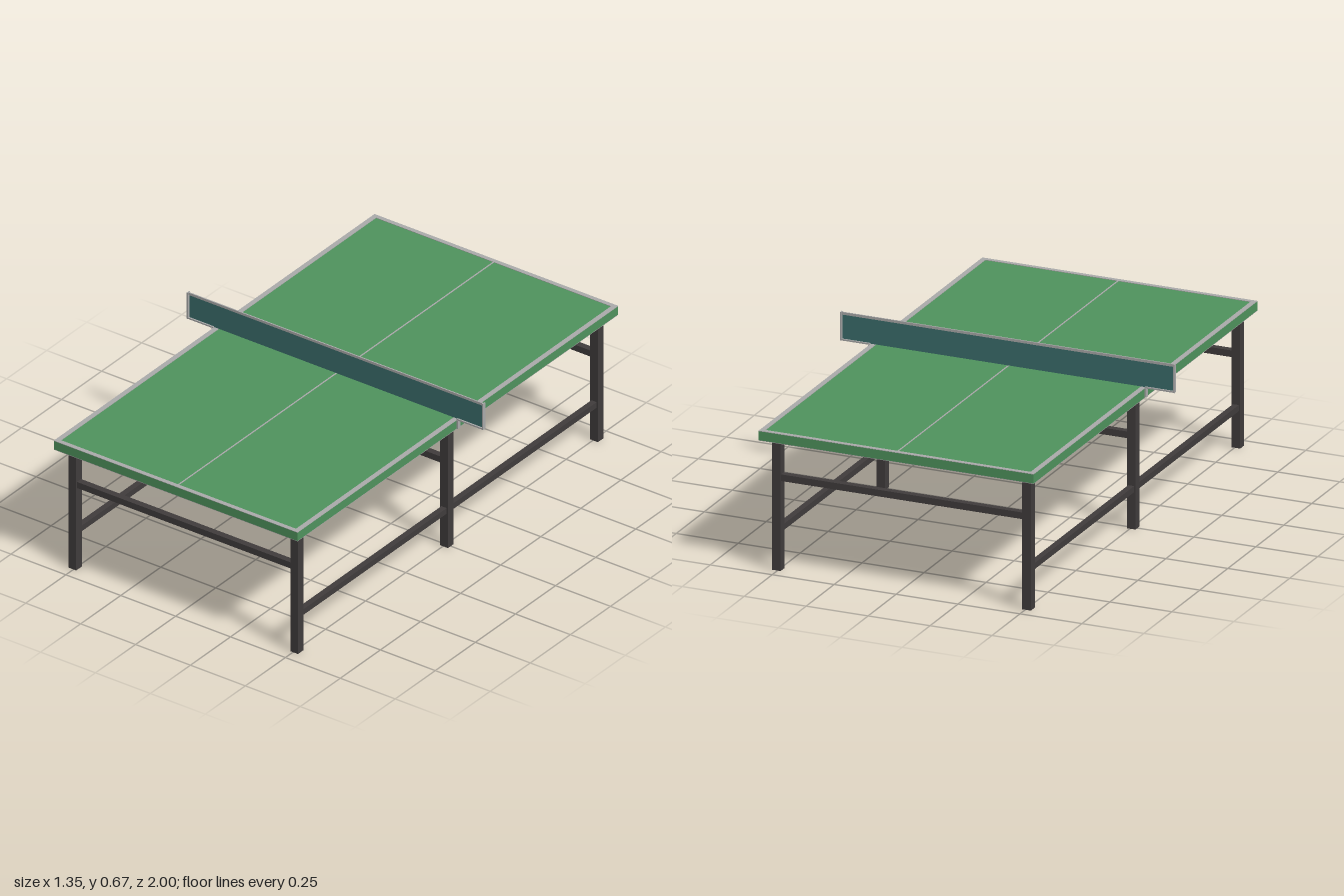
import * as THREE from 'three';

const paint = (name, color) => {
  const m = new THREE.MeshStandardMaterial({ color });
  m.name = name;
  return m;
};

export function createModel() {
  const green = paint('table green', 0x4f935d);
  const grey = paint('line grey', 0xaaaaaa);
  const dark = paint('frame charcoal', 0x403c3c);
  const teal = paint('net teal', 0x3b6e6c);

  const model = new THREE.Group();
  model.name = 'tableTennisTable';

  const box = (name, mat, size, pos, parent = model) => {
    const mesh = new THREE.Mesh(new THREE.BoxGeometry(...size), mat);
    mesh.name = name;
    mesh.position.set(...pos);
    parent.add(mesh);
    return mesh;
  };
  const group = (name) => {
    const g = new THREE.Group();
    g.name = name;
    model.add(g);
    return g;
  };

  // Playing surface
  const TOP = 0.555, BOTTOM = 0.52, HALF_W = 0.555, HALF_L = 1;
  box('tableTop', green, [HALF_W * 2, TOP - BOTTOM, HALF_L * 2], [0, (TOP + BOTTOM) / 2, 0]);

  // Painted border and centre line on both faces
  const rectangle = (PathType, w, l) => new PathType([
    new THREE.Vector2(-w, -l), new THREE.Vector2(w, -l),
    new THREE.Vector2(w, l), new THREE.Vector2(-w, l),
  ]);
  const borderShape = rectangle(THREE.Shape, HALF_W, HALF_L);
  borderShape.holes.push(rectangle(THREE.Path, HALF_W - 0.02, HALF_L - 0.018));
  const borderGeometry = new THREE.ExtrudeGeometry(borderShape, { depth: 0.002, bevelEnabled: false });
  borderGeometry.rotateX(-Math.PI / 2);
  const lines = group('courtLines');
  for (const [name, y] of [['topBorder', TOP], ['undersideBorder', BOTTOM - 0.002]]) {
    const border = new THREE.Mesh(borderGeometry, grey);
    border.name = name;
    border.position.y = y;
    lines.add(border);
  }
  box('centreLine', grey, [0.005, 0.002, HALF_L * 2 - 0.036], [0, TOP + 0.001, 0], lines);

  // Legs, cross bars and side rails
  const frame = group('frame');
  const LEG_X = 0.505, LEG_Z = 0.935, LEG = 0.035;
  for (const z of [-LEG_Z, 0, LEG_Z]) {
    for (const x of [-LEG_X, LEG_X]) {
      box('leg', dark, [LEG, BOTTOM, LEG], [x, BOTTOM / 2, z], frame);
    }
    box('crossBar', dark, [LEG_X * 2 - LEG, 0.026, 0.026], [0, 0.365, z], frame);
  }
  for (const x of [-LEG_X, LEG_X]) {
    for (const side of [-1, 1]) {
      box('sideRail', dark, [0.024, 0.024, LEG_Z - LEG], [x, 0.158, side * LEG_Z / 2], frame);
    }
  }

  // Net with tape, end posts and clamps
  const net = group('net');
  const NET_X = 0.672, NET_TOP = 0.667;
  box('netMesh', teal, [NET_X * 2 - 0.01, 0.099, 0.003], [0, 0.6085, 0], net);
  box('netTape', grey, [NET_X * 2, 0.01, 0.005], [0, NET_TOP - 0.006, 0], net);
  for (const s of [-1, 1]) {
    box('netPost', grey, [0.005, NET_TOP - TOP, 0.015], [s * NET_X, (NET_TOP + TOP) / 2, 0], net);
    box('netArm', grey, [NET_X - HALF_W, 0.006, 0.015], [s * (NET_X + HALF_W) / 2, 0.559, 0], net);
    box('netClamp', grey, [0.006, TOP - BOTTOM, 0.015], [s * (HALF_W + 0.003), (TOP + BOTTOM) / 2, 0], net);
  }

  return model;
}
